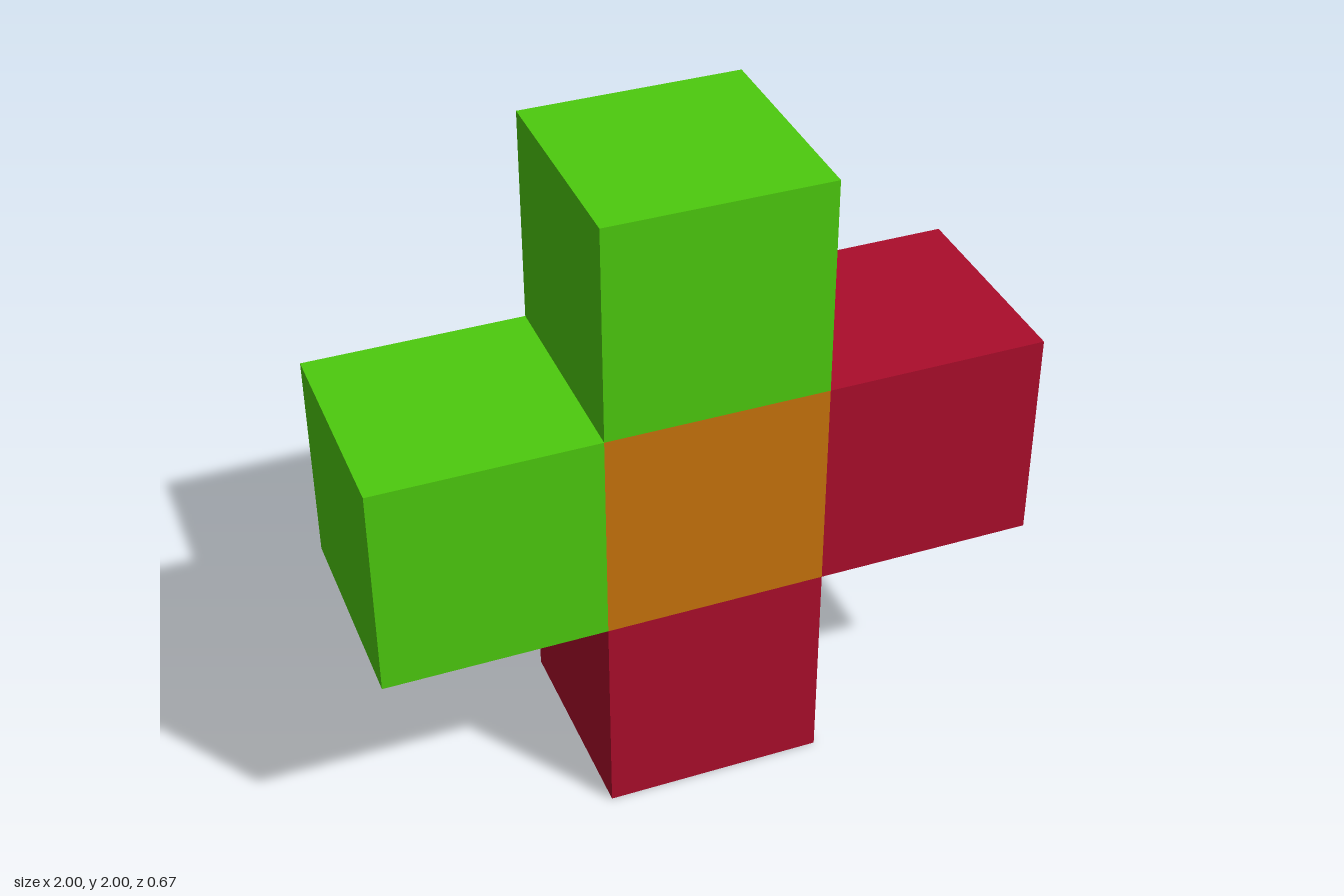
import * as THREE from 'three';

const SIZE = 2 / 3; // edge of one cube; three cubes span the full 2 units

export function createModel() {
  const model = new THREE.Group();
  model.name = 'cubeCross';

  const paint = (color) => new THREE.MeshStandardMaterial({ color });
  const green = paint(0x4dca0e);
  const red = paint(0xab0d2b);
  const orange = paint(0xc8730c);
  const cube = new THREE.BoxGeometry(SIZE, SIZE, SIZE);

  // Name, material and grid column / row of each cube
  const cubes = [
    ['centreCube', orange, 0, 0],
    ['topCube', green, 0, 1],
    ['rightCube', green, -1, 0],
    ['leftCube', red, 1, 0],
    ['bottomCube', red, 0, -1],
  ];

  for (const [name, material, column, row] of cubes) {
    const mesh = new THREE.Mesh(cube, material);
    mesh.name = name;
    mesh.position.set(column * SIZE, 1 + row * SIZE, 0);
    model.add(mesh);
  }
  return model;
}
